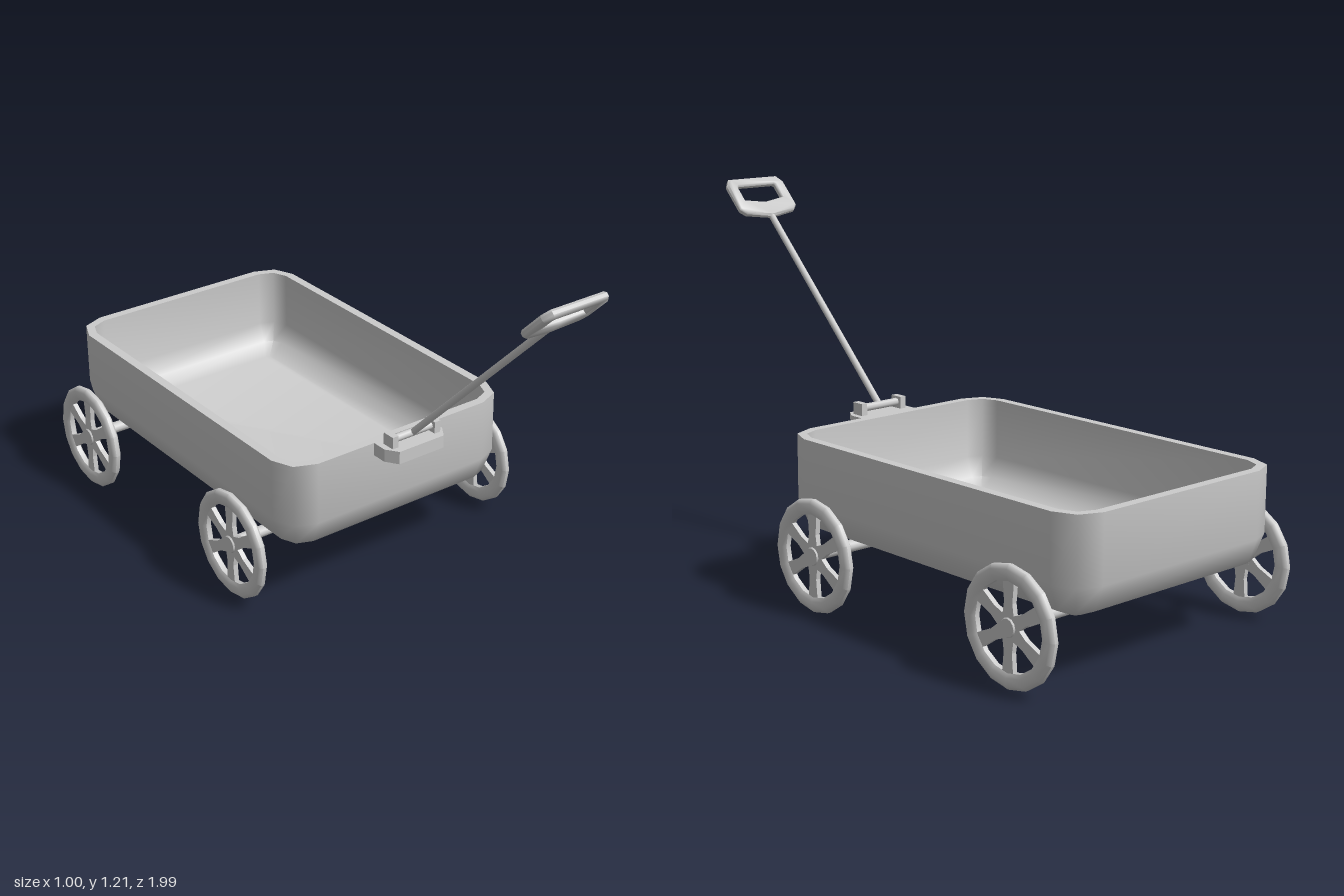
import * as THREE from 'three';
import { toCreasedNormals } from 'three/addons/utils/BufferGeometryUtils.js';

const material = new THREE.MeshStandardMaterial({ color: 0xcccccc });

function add(parent, name, geometry, x = 0, y = 0, z = 0) {
  const mesh = new THREE.Mesh(geometry, material);
  mesh.name = name;
  mesh.position.set(x, y, z);
  parent.add(mesh);
  return mesh;
}

// Rounded-rectangle ring of points, counted from +x towards +z
function ring(hx, hz, radius, y, steps = 2) {
  const points = [];
  const corners = [[1, 1], [-1, 1], [-1, -1], [1, -1]];
  corners.forEach(([sx, sz], c) => {
    for (let i = 0; i <= steps; i++) {
      const a = (c + i / steps) * Math.PI / 2;
      points.push([sx * (hx - radius) + radius * Math.cos(a), y, sz * (hz - radius) + radius * Math.sin(a)]);
    }
  });
  return points;
}

// Open tub: outer skin, rim, inner skin, closed by a floor on both sides
function tubGeometry() {
  const profile = [[0.1, 0.19], [0.03, 0.222], [0, 0.3], [0, 0.505], [0.03, 0.505], [0.03, 0.31], [0.055, 0.245], [0.12, 0.22]];
  const rings = profile.map(([inset, y]) => ring(0.42 - inset, 0.632 - inset, Math.max(0.1 - inset, 0.02), y));
  const n = rings[0].length;
  const positions = rings.flat(2);
  const index = [];
  for (let r = 0; r < rings.length - 1; r++) {
    for (let i = 0; i < n; i++) {
      const a = r * n + i, b = r * n + (i + 1) % n;
      index.push(a, a + n, b, b, a + n, b + n);
    }
  }
  const last = (rings.length - 1) * n;
  for (let i = 1; i < n - 1; i++) {
    index.push(0, i, i + 1);
    index.push(last, last + i + 1, last + i);
  }
  const geometry = new THREE.BufferGeometry();
  geometry.setAttribute('position', new THREE.Float32BufferAttribute(positions, 3));
  geometry.setIndex(index);
  return toCreasedNormals(geometry, 1);
}

// Closed shape from a list of corners
function polygon(corners, Type = THREE.Shape) {
  return new Type(corners.map(([x, y]) => new THREE.Vector2(x, y)));
}

function createWheel() {
  const wheel = new THREE.Group();
  wheel.name = 'wheel';
  // Rim with rounded tread, lathed around the axle
  const section = [[0.13, -0.008], [0.142, -0.016], [0.165, -0.016], [0.177, -0.006], [0.177, 0.006],
    [0.165, 0.016], [0.142, 0.016], [0.13, 0.008], [0.13, -0.008]];
  const rim = new THREE.LatheGeometry(section.map(([r, y]) => new THREE.Vector2(r, y)), 16);
  add(wheel, 'rim', toCreasedNormals(rim, 0.9)).rotation.z = -Math.PI / 2;
  // Six flat spokes, wider at the rim and at the hub
  const spoke = new THREE.ExtrudeGeometry(
    polygon([[-0.024, 0.02], [0.024, 0.02], [0.016, 0.07], [0.022, 0.136], [-0.022, 0.136], [-0.016, 0.07]]),
    { depth: 0.016, bevelEnabled: false });
  spoke.translate(0, 0, -0.008).rotateY(Math.PI / 2);
  for (let i = 0; i < 6; i++) add(wheel, 'spoke', spoke).rotation.x = i * Math.PI / 3;
  const hub = new THREE.CylinderGeometry(0.026, 0.04, 0.026, 12);
  add(wheel, 'hub', hub).rotation.z = -Math.PI / 2;
  return wheel;
}

function createHandle() {
  const handle = new THREE.Group();
  handle.name = 'pullHandle';
  add(handle, 'rod', new THREE.CylinderGeometry(0.011, 0.011, 0.82, 8), 0, 0.41, 0);
  // Grip frame with a shallow point where the rod meets it
  const outer = [[0, 0.797], [0.095, 0.814], [0.112, 0.832], [0.112, 0.93], [0.095, 0.954]];
  const inner = [[0, 0.848], [0.083, 0.863], [0.083, 0.925], [0.075, 0.932]];
  const mirrored = (half) => [...half, ...half.slice(1).reverse().map(([x, y]) => [-x, y])];
  const shape = polygon(mirrored(outer));
  shape.holes.push(polygon(mirrored(inner), THREE.Path));
  const grip = new THREE.ExtrudeGeometry(shape, {
    depth: 0.01, bevelThickness: 0.007, bevelSize: 0.006, bevelSegments: 1,
  });
  add(handle, 'grip', toCreasedNormals(grip, 0.9), 0, 0, -0.005);
  handle.position.set(0, 0.525, 0.31);
  handle.rotation.x = Math.PI / 4;
  return handle;
}

export function createModel() {
  const wagon = new THREE.Group();
  wagon.name = 'wagon';
  add(wagon, 'tub', tubGeometry(), 0, 0, -0.367);

  // Axles and wheels
  for (const z of [0.037, -0.815]) {
    const axle = new THREE.CylinderGeometry(0.019, 0.019, 0.96, 10);
    add(wagon, 'axle', axle, 0, 0.18, z).rotation.z = Math.PI / 2;
    for (const side of [1, -1]) {
      const wheel = createWheel();
      wheel.position.set(side * 0.484, 0.177, z);
      if (side < 0) wheel.rotation.y = Math.PI;
      wagon.add(wheel);
    }
  }

  // Hitch plate, tapering to the front
  const plate = new THREE.ExtrudeGeometry(
    polygon([[-0.112, -0.255], [-0.112, -0.315], [-0.085, -0.355], [0.085, -0.355], [0.112, -0.315], [0.112, -0.255]]),
    { depth: 0.042, bevelEnabled: false });
  add(wagon, 'hitchPlate', plate.rotateX(-Math.PI / 2), 0, 0.463, 0);

  // Lugs and the pin that carries the handle
  for (const side of [1, -1]) {
    add(wagon, 'hitchLug', new THREE.BoxGeometry(0.022, 0.042, 0.044), side * 0.081, 0.523, 0.308);
  }
  const pin = new THREE.CylinderGeometry(0.013, 0.013, 0.16, 8);
  add(wagon, 'hitchPin', pin, 0, 0.525, 0.308).rotation.z = Math.PI / 2;

  wagon.add(createHandle());
  return wagon;
}
